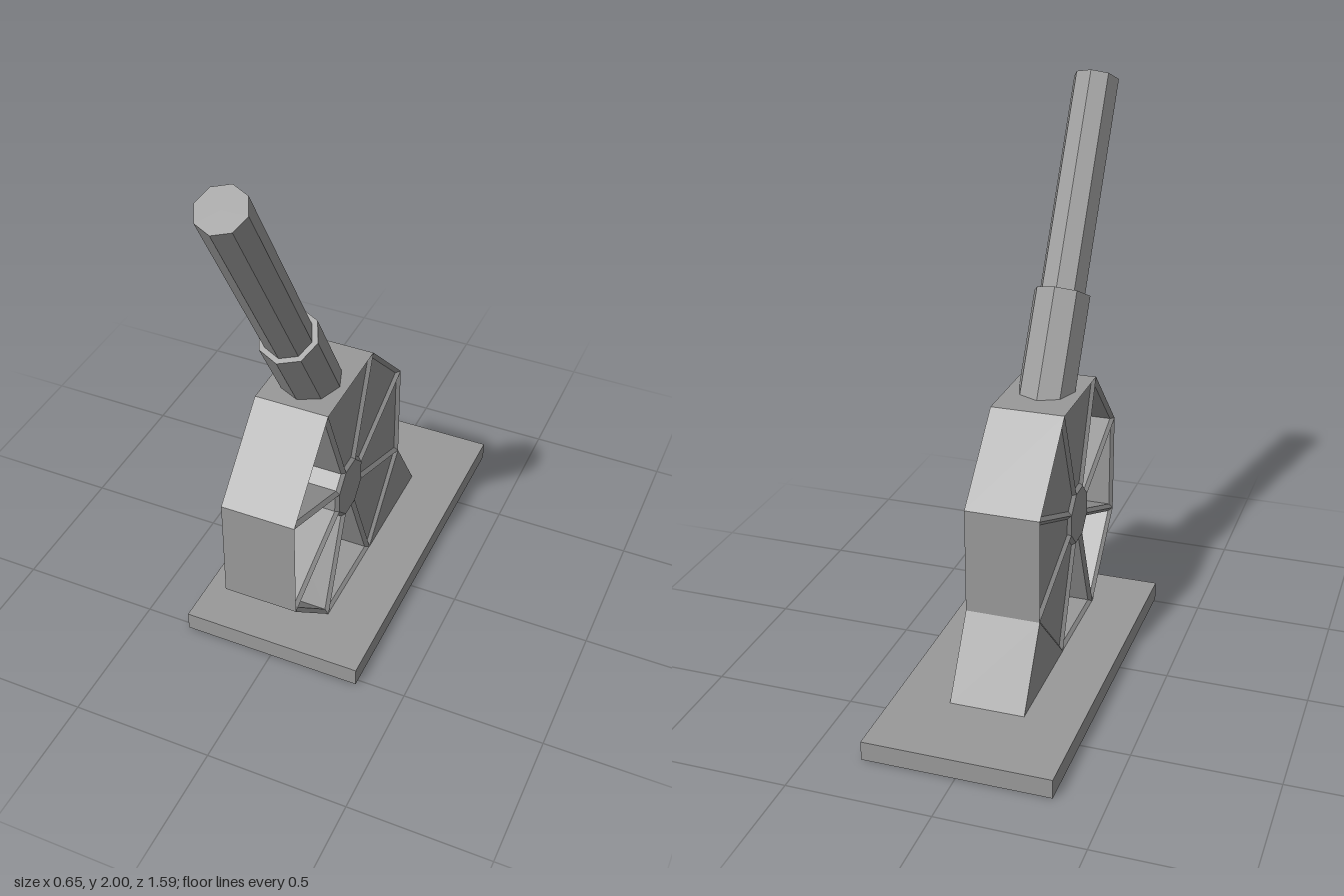
import * as THREE from 'three';

const CY = 0.523, CZ = 0.125;    // wheel centre
const R = 0.456, HUB = 0.095;    // distances from centre to the flats
const W = 0.132;                 // half width of the wheel
const INSET = 0.0135, RECESS = 0.012;
const TAN = Math.tan(Math.PI / 8), COS = Math.cos(Math.PI / 8);

const darkGrey = new THREE.MeshStandardMaterial({ color: 0x999999, flatShading: true });

function add(group, name, geometry) {
  const mesh = new THREE.Mesh(geometry, darkGrey);
  mesh.name = name;
  group.add(mesh);
  return mesh;
}

// Eight-sided wheel: sloped frames around each sector, four sectors closed, four open
function wheelGeometry() {
  const pos = [];
  const tri = (a, b, c) => pos.push(...a, ...b, ...c);
  const quad = (a, b, c, d) => { tri(a, b, c); tri(a, c, d); };

  for (let i = 0; i < 8; i++) {
    const m = i * Math.PI / 4, open = i < 2 || i > 5;
    const point = (u, v, x) => [
      x,
      CY + u * Math.sin(m) + v * Math.cos(m),
      CZ + u * Math.cos(m) - v * Math.sin(m),
    ];
    const outline = (t, x) => {
      const u0 = HUB + t, u1 = R - t;
      const v0 = u0 * TAN - t / COS, v1 = u1 * TAN - t / COS;
      return [point(u0, -v0, x), point(u1, -v1, x), point(u1, v1, x), point(u0, v0, x)];
    };

    // side faces
    for (const s of [-1, 1]) {
      const face = s < 0 ? quad : (a, b, c, d) => quad(d, c, b, a);
      const O = outline(0, s * W), I = outline(INSET, s * (W - RECESS));
      for (let k = 0; k < 4; k++) {
        const n = (k + 1) % 4;
        face(O[k], O[n], I[n], I[k]);
      }
      if (!open) face(...I);
      const c = point(0, 0, s * W);
      if (s < 0) tri(c, O[0], O[3]); else tri(c, O[3], O[0]);
    }

    // walls through the open sectors
    if (open) {
      const A = outline(INSET, RECESS - W), B = outline(INSET, W - RECESS);
      for (let k = 0; k < 4; k++) {
        const n = (k + 1) % 4;
        quad(A[k], A[n], B[n], B[k]);
      }
    }

    // outer rim
    const v = R * TAN;
    quad(point(R, -v, -W), point(R, -v, W), point(R, v, W), point(R, v, -W));
  }

  const g = new THREE.BufferGeometry();
  g.setAttribute('position', new THREE.Float32BufferAttribute(pos, 3));
  g.computeVertexNormals();
  return g;
}

// Eight-sided tube ending at (y, z), tilted forward by 30 degrees
function tilted(group, name, radius, length, y, z) {
  const geometry = new THREE.CylinderGeometry(radius, radius, length, 8);
  geometry.translate(0, -length / 2, 0);
  const mesh = add(group, name, geometry);
  mesh.rotation.x = Math.PI / 6;
  mesh.position.set(0, y, z);
}

export function createModel() {
  const model = new THREE.Group();
  model.name = 'cannon';

  // base plate
  add(model, 'basePlate', new THREE.BoxGeometry(0.654, 0.068, 1.318))
    .position.set(0, 0.034, -0.139);

  add(model, 'wheelBody', wheelGeometry());

  // rear wedge between wheel and base
  const wedge = new THREE.Shape([
    new THREE.Vector2(R * TAN - CZ, 0.068),
    new THREE.Vector2(0.497, 0.068),
    new THREE.Vector2(R - CZ, CY - R * TAN),
  ]);
  const wedgeGeometry = new THREE.ExtrudeGeometry(wedge, { depth: 2 * W, bevelEnabled: false });
  wedgeGeometry.rotateY(Math.PI / 2).translate(-W, 0, 0);
  add(model, 'rearSupport', wedgeGeometry);

  // barrel and its sleeve
  tilted(model, 'barrelSleeve', 0.103, 0.45, 1.275, 0.326);
  tilted(model, 'barrel', 0.083, 0.85, 1.959, 0.722);

  return model;
}
